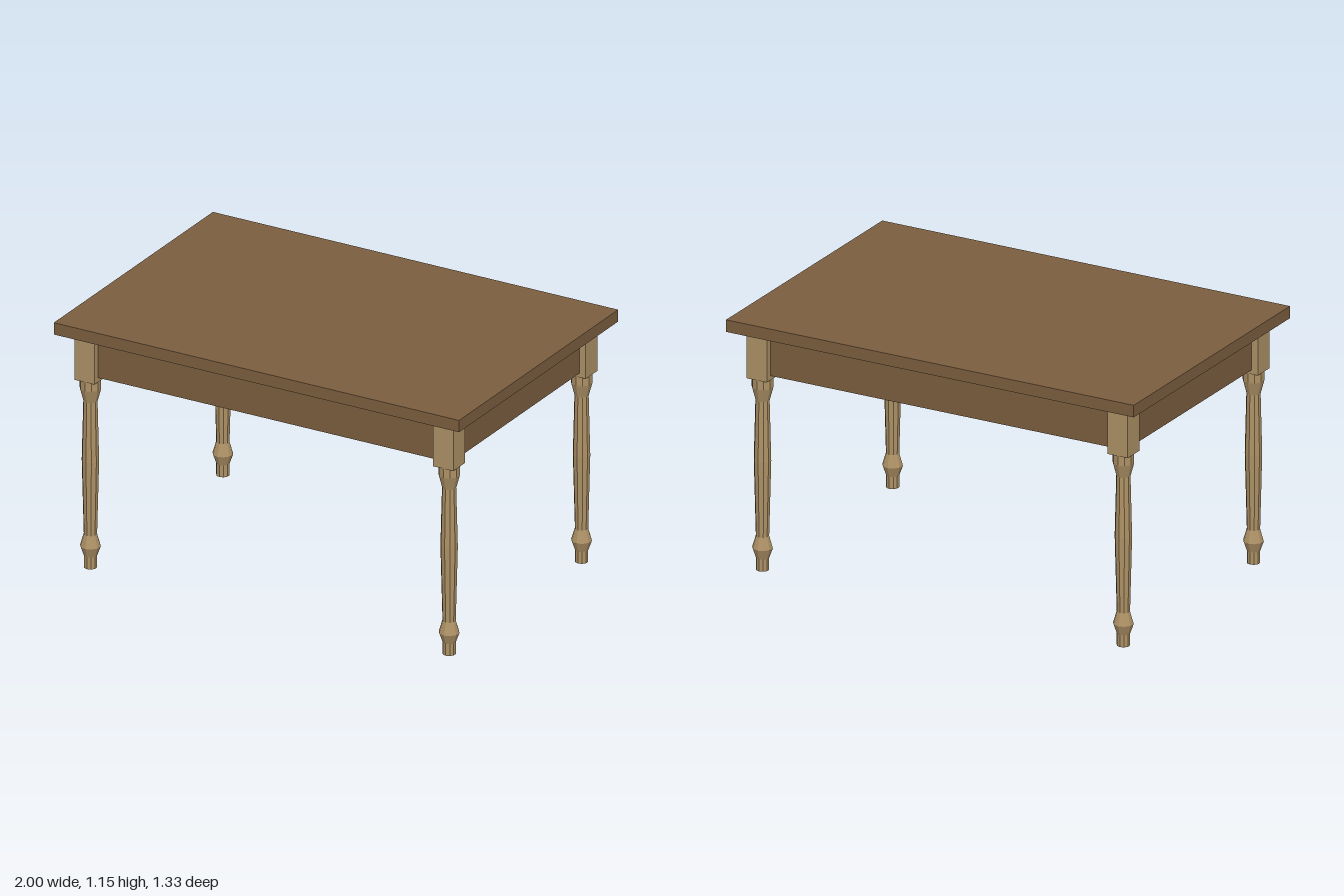
import * as THREE from 'three';

export function createModel() {
  const table = new THREE.Group();
  table.name = 'table';

  const darkWood = new THREE.MeshStandardMaterial({ color: 0x7c5f40, flatShading: true });
  darkWood.name = 'dark wood';
  const lightWood = new THREE.MeshStandardMaterial({ color: 0xae9266, flatShading: true });
  lightWood.name = 'light wood';

  const legX = 0.885, legZ = 0.555; // leg centres
  const block = 0.1;                // square section at the top of each leg

  function addBox(parent, name, material, size, position) {
    const mesh = new THREE.Mesh(new THREE.BoxGeometry(...size), material);
    mesh.name = name;
    mesh.position.set(...position);
    parent.add(mesh);
  }

  // Table top
  addBox(table, 'tableTop', darkWood, [2, 0.055, 1.334], [0, 1.1275, 0]);

  // Aprons between the leg blocks
  for (const s of [1, -1]) {
    addBox(table, s > 0 ? 'frontApron' : 'backApron', darkWood,
      [2 * legX - block, 0.2, 0.04], [0, 1, s * legZ]);
    addBox(table, s > 0 ? 'leftApron' : 'rightApron', darkWood,
      [0.04, 0.2, 2 * legZ - block], [s * legX, 1, 0]);
  }

  // Turned leg profile: radius, height
  const profile = [
    [0, 0], [0.029, 0], [0.029, 0.055], [0.045, 0.1], [0.029, 0.155],
    [0.038, 0.5], [0.031, 0.775], [0.047, 0.835], [0.047, 0.88], [0, 0.88],
  ].map(([r, y]) => new THREE.Vector2(r, y));
  const turnedGeometry = new THREE.LatheGeometry(profile, 10);

  // Four legs: turned shaft under a square block
  for (const sx of [1, -1]) {
    for (const sz of [1, -1]) {
      const leg = new THREE.Group();
      leg.name = (sz > 0 ? 'front' : 'back') + (sx > 0 ? 'Left' : 'Right') + 'Leg';
      leg.position.set(sx * legX, 0, sz * legZ);
      const shaft = new THREE.Mesh(turnedGeometry, lightWood);
      shaft.name = 'turnedShaft';
      leg.add(shaft);
      addBox(leg, 'legBlock', lightWood, [block, 0.22, block], [0, 0.99, 0]);
      table.add(leg);
    }
  }

  return table;
}
